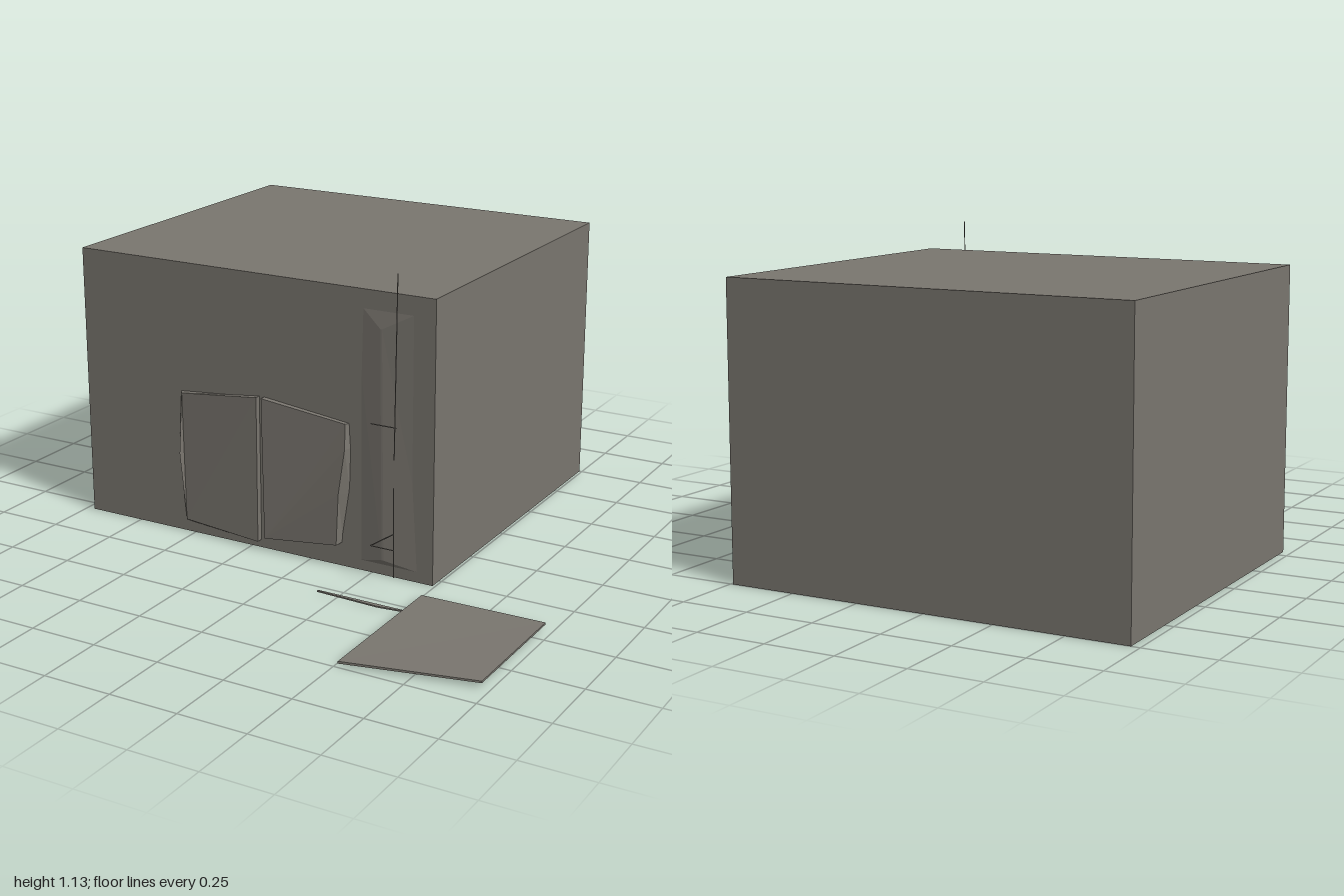
import * as THREE from 'three';

const stone = new THREE.MeshStandardMaterial({ color: 0x7a766f, flatShading: true });
stone.name = 'warm grey';

export function createModel() {
  const model = new THREE.Group();
  const add = (name, geometry, parent = model) => {
    const mesh = new THREE.Mesh(geometry, stone);
    mesh.name = name;
    parent.add(mesh);
    return mesh;
  };
  // box given by its limits
  const block = (name, x0, x1, y0, y1, z0, z1, parent) => {
    const mesh = add(name, new THREE.BoxGeometry(x1 - x0, y1 - y0, z1 - z0), parent);
    mesh.position.set((x0 + x1) / 2, (y0 + y1) / 2, (z0 + z1) / 2);
    return mesh;
  };
  // closed solid between two matching outlines, counter-clockwise seen from the front one
  const loft = (back, front) => {
    const pos = [];
    const tri = (...p) => p.forEach((v) => pos.push(...v));
    const n = back.length;
    for (let i = 0; i < n; i++) {
      const j = (i + 1) % n;
      tri(back[i], back[j], front[j]);
      tri(back[i], front[j], front[i]);
      if (i > 0 && i < n - 1) {
        tri(front[0], front[i], front[i + 1]);
        tri(back[0], back[i + 1], back[i]);
      }
    }
    const g = new THREE.BufferGeometry();
    g.setAttribute('position', new THREE.Float32BufferAttribute(pos, 3));
    g.computeVertexNormals();
    return g;
  };
  const atDepth = (points, z) => points.map(([x, y]) => [x, y, z]);

  // main body: walls around an opening in the underside, closed by the upper block
  const rect = (path, x0, x1, z0, z1) =>
    path.moveTo(x0, -z0).lineTo(x1, -z0).lineTo(x1, -z1).lineTo(x0, -z1).closePath();
  const plan = rect(new THREE.Shape(), -0.97, 0.49, -1, 0.3);
  plan.holes.push(rect(new THREE.Path(), -0.48, 0.07, -0.85, 0.26));
  const base = new THREE.ExtrudeGeometry(plan, { depth: 0.2, bevelEnabled: false });
  base.rotateX(-Math.PI / 2);
  add('lowerBody', base);
  block('upperBody', -0.97, 0.49, 0.2, 1.03, -1, 0.3);

  // row of risers with ledges inside the underside opening
  const steps = new THREE.Group();
  steps.name = 'undersideSteps';
  model.add(steps);
  for (let i = 0; i < 6; i++) {
    const z = -0.68 + i * 0.175;
    block('riser', -0.48, 0.07, 0.03, 0.2, z, z + 0.03, steps);
    block('stepEnd', -0.48, -0.4, 0.05, 0.2, z, z + 0.09, steps);
  }

  // pair of bulging front doors
  const leftOutline = [[-0.54, 0.04], [-0.21, 0.03], [-0.21, 0.58], [-0.55, 0.55], [-0.56, 0.31]];
  const leftFace = [[-0.53, 0.05, 0.312], [-0.21, 0.03, 0.325], [-0.21, 0.58, 0.322],
    [-0.54, 0.54, 0.308], [-0.545, 0.31, 0.325]];
  add('outerDoor', loft(atDepth(leftOutline, 0.295), leftFace));
  const rightOutline = [[-0.18, 0.05], [0.13, 0.09], [0.16, 0.28], [0.165, 0.45], [0.16, 0.54], [-0.19, 0.58]];
  const rightFace = [[-0.18, 0.05, 0.328], [0.12, 0.085, 0.328], [0.13, 0.28, 0.33],
    [0.155, 0.45, 0.328], [0.15, 0.54, 0.315], [-0.19, 0.58, 0.322]];
  add('innerDoor', loft(atDepth(rightOutline, 0.295), rightFace));

  // very shallow swelling of the wall beside the doors
  const swell = [[0.17, 0.03], [0.48, 0.03], [0.48, 1.0], [0.17, 1.0]];
  add('wallSwelling', loft(atDepth(swell, 0.295),
    [[0.295, 0.06, 0.312], [0.302, 0.06, 0.312], [0.29, 0.9, 0.308], [0.283, 0.9, 0.308]]));

  // free-standing slender frame
  const frame = new THREE.Group();
  frame.name = 'slenderFrame';
  model.add(frame);
  const rod = (name, a, b, r = 0.002) => {
    const path = new THREE.LineCurve3(new THREE.Vector3(...a), new THREE.Vector3(...b));
    add(name, new THREE.TubeGeometry(path, 1, r, 4), frame);
  };
  rod('upperPost', [0.392, 0.48, 0.405], [0.4, 1.13, 0.403]);
  rod('lowerPost', [0.392, 0.05, 0.405], [0.39, 0.38, 0.405]);
  rod('crossbar', [0.3, 0.595, 0.403], [0.4, 0.595, 0.403]);
  rod('lowerBar', [0.3, 0.15, 0.403], [0.39, 0.15, 0.403]);
  rod('brace', [0.3, 0.15, 0.403], [0.39, 0.21, 0.403]);

  // thin strip lying on the ground
  add('groundStrip', loft(
    [[0.17, 0.003, 0.545], [0.41, 0.003, 0.555], [0.5, 0.003, 0.545], [0.5, 0.003, 0.538], [0.17, 0.003, 0.538]],
    [[0.17, 0.008, 0.545], [0.41, 0.008, 0.555], [0.5, 0.008, 0.545], [0.5, 0.008, 0.538], [0.17, 0.008, 0.538]]));

  // loose slab on the ground
  add('groundSlab', loft(
    [[0.51, 0.008, 0.99], [0.97, 0.016, 0.9], [0.97, 0.016, 0.42], [0.51, 0.01, 0.42]],
    [[0.51, 0.016, 0.99], [0.97, 0.023, 0.9], [0.97, 0.023, 0.42], [0.51, 0.018, 0.42]]));
  return model;
}
